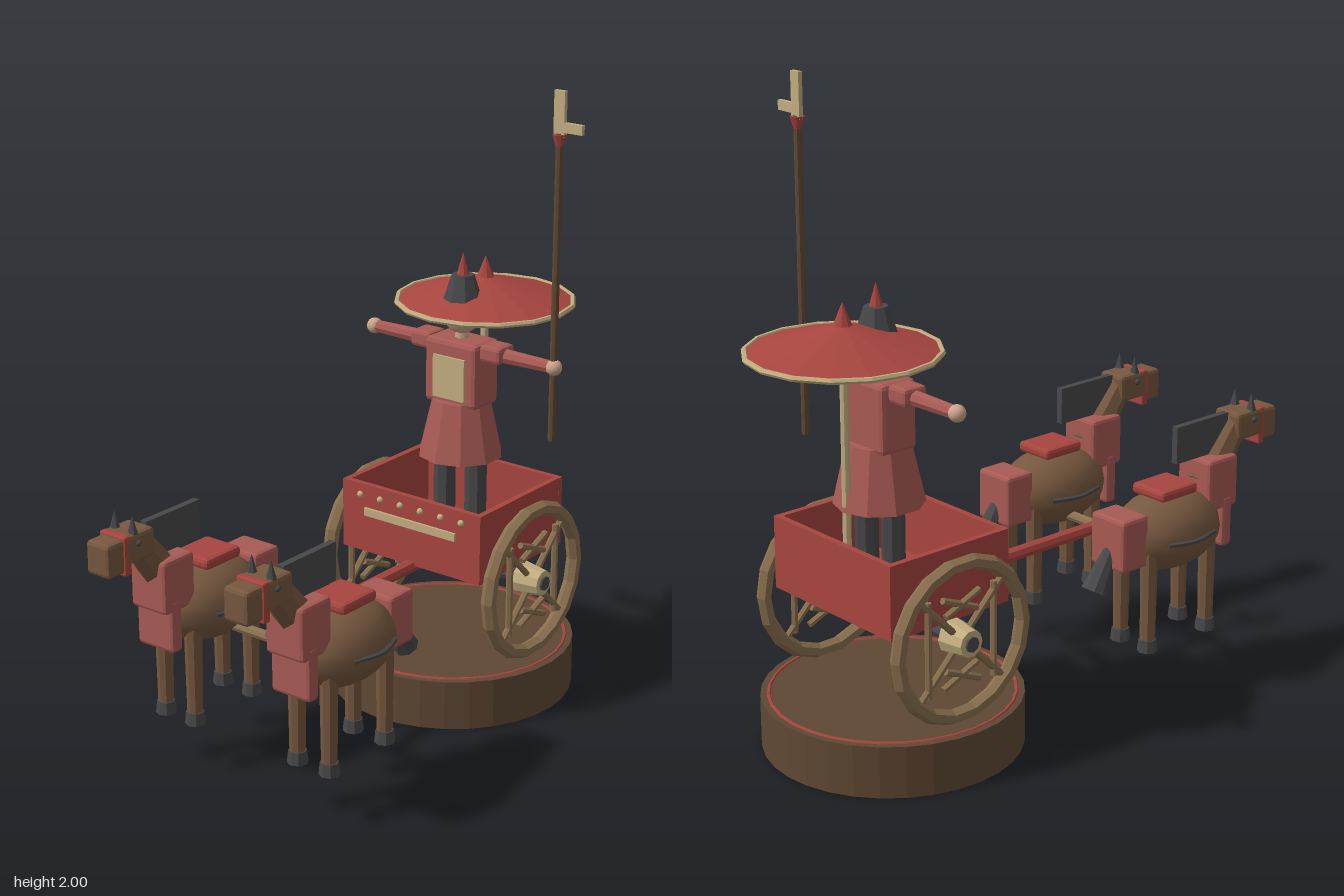
import * as THREE from 'three';
import { RoundedBoxGeometry } from 'three/addons/geometries/RoundedBoxGeometry.js';

const mat = (color, flatShading = true) =>
  new THREE.MeshStandardMaterial({ color, flatShading, side: THREE.DoubleSide });
const RED = mat(0xa8453f), ARMOR = mat(0xa85a54), BROWN = mat(0x76583f), DARKWOOD = mat(0x5f4833),
  WHEEL = mat(0x8a704f), CREAM = mat(0xc2ad80), DARK = mat(0x48484a),
  HIDE = mat(0x76583f, false), SKIN = mat(0xcba58c, false);

const V = (x, y, z) => new THREE.Vector3(x, y, z);

function add(parent, name, geometry, material, x = 0, y = 0, z = 0) {
  const mesh = new THREE.Mesh(geometry, material);
  mesh.name = name;
  mesh.position.set(x, y, z);
  parent.add(mesh);
  return mesh;
}
const box = (p, name, m, w, h, d, x, y, z) =>
  add(p, name, new THREE.BoxGeometry(w, h, d), m, x, y, z);
const softBox = (p, name, m, w, h, d, x, y, z, r = 0.012) =>
  add(p, name, new RoundedBoxGeometry(w, h, d, 1, r), m, x, y, z);
const ball = (p, name, m, r, x, y, z) =>
  add(p, name, new THREE.SphereGeometry(r, 16, 12), m, x, y, z);

// Tapered rod from point a (radius ra) to point b (radius rb)
function rod(p, name, m, a, b, ra, rb = ra, sides = 8) {
  const dir = b.clone().sub(a);
  const mesh = add(p, name, new THREE.CylinderGeometry(rb, ra, dir.length(), sides), m);
  mesh.position.copy(a).add(b).multiplyScalar(0.5);
  mesh.quaternion.setFromUnitVectors(V(0, 1, 0), dir.normalize());
  return mesh;
}
function group(parent, name, x = 0, y = 0, z = 0) {
  const g = new THREE.Group();
  g.name = name;
  g.position.set(x, y, z);
  parent.add(g);
  return g;
}

function buildHorse(parent, x) {
  const g = group(parent, 'horse', x);
  ball(g, 'body', HIDE, 1, 0, 0.525, 0.45).scale.set(0.14, 0.125, 0.2);
  for (const s of [-1, 1]) {
    for (const z of [0.315, 0.575]) {
      rod(g, 'leg', BROWN, V(s * 0.06, 0.2, z), V(s * 0.06, 0.5, z), 0.024, 0.028);
      rod(g, 'hoof', DARK, V(s * 0.06, 0.165, z), V(s * 0.06, 0.205, z), 0.032, 0.028);
    }
    // Trace strap along the flank
    const strap = new THREE.CatmullRomCurve3(
      [V(s * 0.118, 0.525, 0.34), V(s * 0.146, 0.525, 0.435), V(s * 0.122, 0.525, 0.54)]);
    add(g, 'trace', new THREE.TubeGeometry(strap, 8, 0.008, 6), DARK);
    rod(g, 'ear', DARK, V(s * 0.035, 0.84, 0.79), V(s * 0.035, 0.9, 0.79), 0.018, 0.001, 6);
    ball(g, 'eye', DARK, 0.01, s * 0.052, 0.82, 0.785);
  }
  // Armour plates and saddle
  softBox(g, 'chestArmor', ARMOR, 0.14, 0.17, 0.13, 0, 0.645, 0.635);
  softBox(g, 'chestPlate', ARMOR, 0.145, 0.17, 0.045, 0, 0.515, 0.653);
  softBox(g, 'rumpArmor', ARMOR, 0.145, 0.17, 0.11, 0, 0.54, 0.245);
  softBox(g, 'saddle', RED, 0.14, 0.036, 0.155, 0, 0.661, 0.44);
  // Neck, mane, head and tail
  rod(g, 'neck', BROWN, V(0, 0.63, 0.61), V(0, 0.815, 0.755), 0.062, 0.045);
  box(g, 'mane', DARK, 0.022, 0.12, 0.23, 0, 0.79, 0.595);
  softBox(g, 'head', BROWN, 0.105, 0.09, 0.12, 0, 0.805, 0.775);
  softBox(g, 'muzzle', BROWN, 0.09, 0.105, 0.08, 0, 0.79, 0.862);
  softBox(g, 'noseband', RED, 0.102, 0.122, 0.028, 0, 0.79, 0.826, 0.006);
  rod(g, 'tail', DARK, V(0, 0.52, 0.21), V(0, 0.395, 0.135), 0.02, 0.04);
}

function buildWheel(parent, s) {
  const g = group(parent, 'wheel', s * 0.318, 0.427, -0.45);
  const rim = add(g, 'rim', new THREE.TorusGeometry(0.238, 0.024, 6, 18), WHEEL);
  rim.rotation.y = Math.PI / 2;
  const spoke = (y1, z1, y2, z2) =>
    rod(g, 'spoke', WHEEL, V(0, y1, z1), V(0, y2, z2), 0.011, 0.011, 6);
  for (const a of [-1, 1]) {
    for (const b of [-1, 1]) spoke(a * 0.02, b * 0.02, a * 0.165, b * 0.165);
    // Side braces and crossed braces
    spoke(-0.15, a * 0.125, 0.15, a * 0.125);
    spoke(a * 0.14, -0.07, a * 0.085, 0.06);
    spoke(a * 0.085, -0.06, a * 0.14, 0.07);
  }
  rod(g, 'hub', CREAM, V(-s * 0.04, 0, 0), V(s * 0.045, 0, 0), 0.055, 0.042, 10);
}

function buildChariot(parent) {
  const g = group(parent, 'chariot');
  // Open box on an axle
  box(g, 'floor', RED, 0.545, 0.03, 0.45, 0, 0.485, -0.45);
  for (const s of [-1, 1]) {
    box(g, 'sideWall', RED, 0.02, 0.23, 0.45, s * 0.262, 0.585, -0.45);
    box(g, 'endWall', RED, 0.545, 0.23, 0.02, 0, 0.585, -0.45 + s * 0.215);
    buildWheel(g, s);
  }
  box(g, 'frontTrim', CREAM, 0.36, 0.026, 0.012, 0, 0.61, -0.222);
  for (let i = 0; i < 6; i++) ball(g, 'stud', CREAM, 0.011, -0.2 + i * 0.08, 0.663, -0.224);
  rod(g, 'axle', DARK, V(-0.37, 0.427, -0.45), V(0.37, 0.427, -0.45), 0.024);
  // Draught pole and yoke
  rod(g, 'pole', RED, V(0, 0.465, -0.28), V(0, 0.465, 0.455), 0.022);
  rod(g, 'yoke', WHEEL, V(-0.26, 0.45, 0.435), V(0.26, 0.45, 0.435), 0.017);
}

function buildDriver(parent) {
  const g = group(parent, 'driver', 0, 0, -0.49);
  for (const s of [-1, 1]) {
    rod(g, 'leg', DARK, V(s * 0.062, 0.5, 0), V(s * 0.062, 0.8, 0), 0.036);
    rod(g, 'arm', ARMOR, V(s * 0.09, 1.135, 0), V(s * 0.345, 1.135, 0), 0.026, 0.021);
    softBox(g, 'shoulderPad', ARMOR, 0.08, 0.055, 0.085, s * 0.135, 1.14, 0);
    ball(g, 'hand', SKIN, 0.026, s * 0.352, 1.135, 0);
  }
  rod(g, 'skirt', ARMOR, V(0, 0.775, 0), V(0, 0.965, 0), 0.138, 0.095, 10);
  softBox(g, 'torso', ARMOR, 0.2, 0.215, 0.13, 0, 1.058, 0, 0.015);
  box(g, 'breastplate', CREAM, 0.122, 0.14, 0.015, 0, 1.045, 0.065);
  rod(g, 'neck', SKIN, V(0, 1.15, 0), V(0, 1.21, 0), 0.022);
  ball(g, 'head', SKIN, 0.062, 0, 1.242, 0);
  rod(g, 'hat', DARK, V(0, 1.28, 0), V(0, 1.372, 0), 0.066, 0.036);
  rod(g, 'hatTip', RED, V(0, 1.365, 0), V(0, 1.44, 0), 0.022, 0.001);
}

function buildParasol(parent) {
  const g = group(parent, 'parasol', 0, 0, -0.612);
  rod(g, 'shaft', CREAM, V(0, 0.5, 0), V(0, 1.33, 0), 0.013);
  add(g, 'canopy', new THREE.ConeGeometry(0.288, 0.085, 16, 1, true), RED, 0, 1.303, 0);
  const rim = add(g, 'canopyRim', new THREE.TorusGeometry(0.284, 0.009, 6, 16), CREAM, 0, 1.26, 0);
  rim.rotation.x = Math.PI / 2;
  rod(g, 'finial', RED, V(0, 1.335, 0), V(0, 1.405, 0), 0.029, 0.001);
}

function buildHalberd(parent) {
  const g = group(parent, 'halberd', 0.35, 0, -0.49);
  rod(g, 'shaft', DARKWOOD, V(0, 0.895, 0), V(0, 1.87, 0), 0.012);
  rod(g, 'tassel', RED, V(0, 1.825, 0), V(0, 1.868, 0), 0.01, 0.023);
  box(g, 'blade', CREAM, 0.038, 0.14, 0.014, 0, 1.93, 0);
  box(g, 'crossBlade', CREAM, 0.07, 0.03, 0.014, 0.048, 1.89, 0);
}

function buildBase(parent) {
  const g = group(parent, 'base', 0, 0, -0.45);
  add(g, 'plinth', new THREE.CylinderGeometry(0.4, 0.4, 0.163, 32), DARKWOOD, 0, 0.0815, 0);
  const ring = add(g, 'plinthRing', new THREE.TorusGeometry(0.375, 0.006, 6, 32), RED, 0, 0.162, 0);
  ring.rotation.x = Math.PI / 2;
}

export function createModel() {
  const model = new THREE.Group();
  model.name = 'chariotModel';
  const g = group(model, 'assembly', -0.013);
  buildBase(g);
  buildChariot(g);
  buildDriver(g);
  buildParasol(g);
  buildHalberd(g);
  for (const s of [-1, 1]) buildHorse(g, s * 0.262);
  return model;
}
